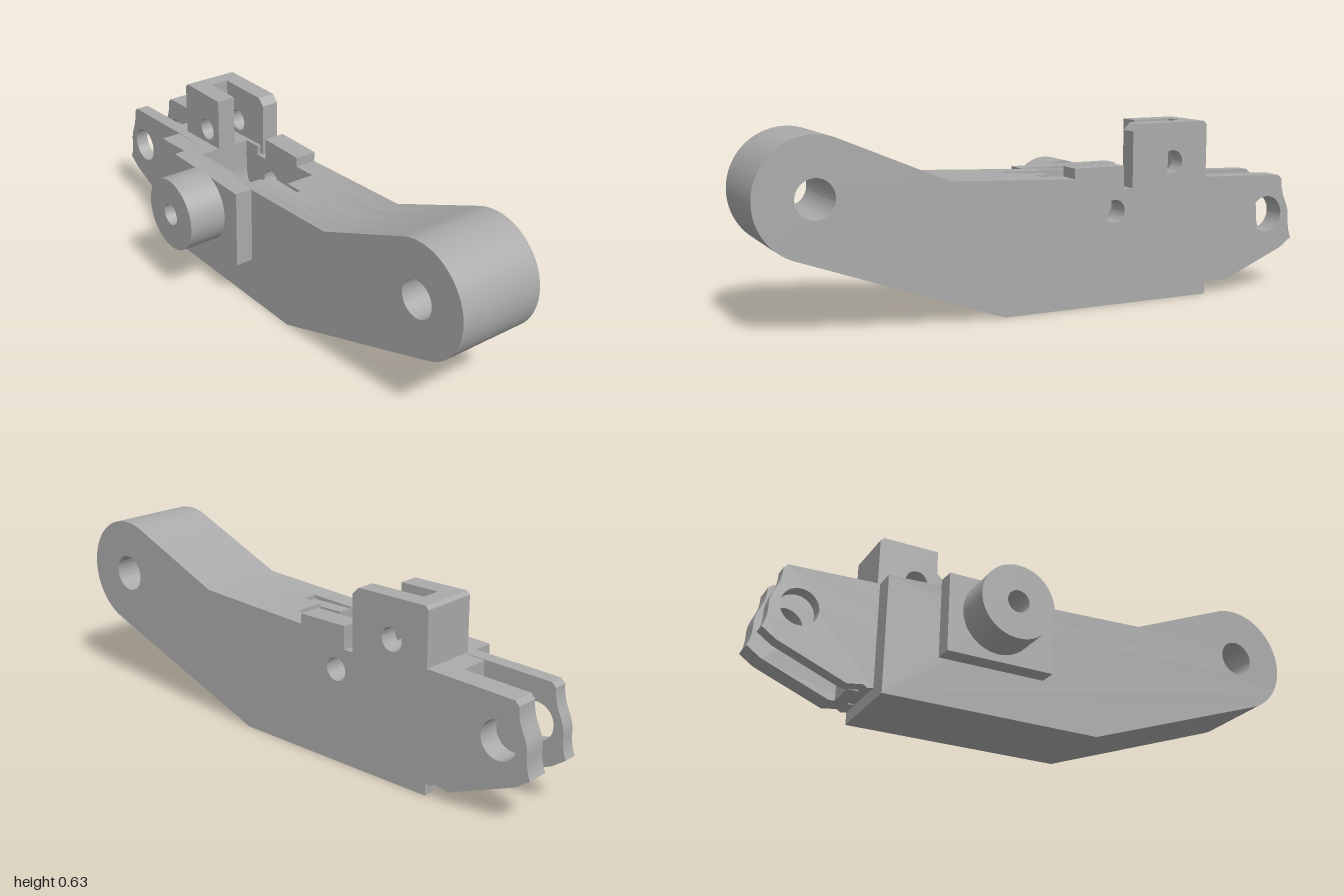
import * as THREE from 'three';
import { toCreasedNormals } from 'three/addons/utils/BufferGeometryUtils.js';

const grey = new THREE.MeshStandardMaterial({ color: 0xaaaaaa });
grey.name = 'plain grey';

const PIN = [-0.245, 0.325, 0.04];   // bore through boss and body
const PIVOT = [0.803, 0.437, 0.065]; // arm pivot hole
const FORK = [-0.885, 0.27, 0.065];  // fork pin hole
const LUG = [-0.475, 0.483, 0.04];   // lug pin hole

// height of the gently sloping top edge
const topY = x => 0.42 + 0.0459 * (x + 0.62);

// extrude a shape between two z values
function slab(name, shape, holes, z0, z1) {
  for (const [x, y, r] of holes) shape.holes.push(new THREE.Path().absarc(x, y, r, 0, Math.PI * 2, true));
  const geo = new THREE.ExtrudeGeometry(shape, { depth: z1 - z0, bevelEnabled: false, curveSegments: 32 });
  geo.translate(0, 0, z0);
  const mesh = new THREE.Mesh(toCreasedNormals(geo, 0.4), grey);
  mesh.name = name;
  return mesh;
}

const poly = pts => new THREE.Shape(pts.map(p => new THREE.Vector2(...p)));

// arm outline; edge(s) cuts the top edge (right to left), left draws the left end
function armShape(edge, left) {
  const s = new THREE.Shape();
  s.moveTo(-0.62, 0);
  s.lineTo(0.17, 0);
  s.absarc(0.803, 0.437, 0.197, -1.23, 2.0, false);
  s.lineTo(0.36, 0.465);
  edge(s);
  left(s);
  return s;
}

// left ends
const squareEnd = s => s.lineTo(-0.62, topY(-0.62));
const stubEnd = s => [[-0.69, topY(-0.69)], [-0.69, 0.045], [-0.62, 0.045]].forEach(p => s.lineTo(...p));
const forkEnd = s => {
  s.lineTo(-0.935, 0.41);
  s.lineTo(-0.95, 0.395);
  s.bezierCurveTo(-0.95, 0.32, -0.985, 0.31, -0.985, 0.25);
  s.quadraticCurveTo(-0.985, 0.2, -1, 0.175);
  s.lineTo(-0.95, 0.14);
  s.lineTo(-0.71, 0.042);
  s.lineTo(-0.655, 0.05);
  s.lineTo(-0.64, 0.04);
  s.lineTo(-0.62, 0.045);
};

// top edges
const plainEdge = () => {};
const tabEdge = s => [[-0.09, topY(-0.09)], [-0.09, 0.48], [-0.28, 0.48], [-0.28, 0.4],
  [-0.33, 0.4], [-0.33, topY(-0.33)]].forEach(p => s.lineTo(...p));
// U-shaped pocket, with an optional step beside it
const pocketEdge = (stepX, stepY) => s => {
  if (stepX !== undefined) {
    s.lineTo(stepX, topY(stepX));
    s.lineTo(stepX, stepY);
    s.lineTo(-0.09, stepY);
  } else s.lineTo(-0.09, topY(-0.09));
  s.lineTo(-0.09, 0.325);
  s.absarc(-0.245, 0.325, 0.155, 0, -Math.PI, true);
  s.lineTo(-0.4, topY(-0.4));
};

// rectangle with chamfered top corners
const chamfered = (x0, x1, y0, y1, c, cr = c) => poly([[x0, y0], [x1, y0], [x1, y1 - cr],
  [x1 - cr, y1], [x0 + c, y1], [x0, y1 - c]]);

export function createModel() {
  const model = new THREE.Group();
  model.name = 'leverArm';

  // arm body, in layers from back to front
  const body = new THREE.Group();
  body.name = 'armBody';
  body.add(
    slab('backWall', armShape(tabEdge, forkEnd), [PIVOT, FORK, PIN], -0.26, -0.18),
    slab('pocketCore', armShape(pocketEdge(0, 0.37), stubEnd), [PIVOT], -0.18, -0.07),
    slab('frontForkLayer', armShape(pocketEdge(0.075, 0.438), forkEnd), [PIVOT, FORK], -0.07, -0.02),
    slab('pocketFront', armShape(pocketEdge(), squareEnd), [PIVOT], -0.02, 0.02),
    slab('frontWall', armShape(plainEdge, squareEnd), [PIVOT, PIN], 0.02, 0.055)
  );
  model.add(body);

  // upright lug: two plates joined by a web
  const lug = new THREE.Group();
  lug.name = 'upperLug';
  lug.add(
    slab('lugBackPlate', chamfered(-0.615, -0.315, 0.4, 0.62, 0.012, 0.025), [LUG], -0.26, -0.195),
    slab('lugFrontPlate', chamfered(-0.615, -0.4, 0.4, 0.62, 0.012, 0), [LUG], -0.125, -0.055),
    slab('lugWeb', chamfered(-0.615, -0.545, 0.4, 0.62, 0.012, 0), [], -0.195, -0.125)
  );
  model.add(lug);

  // front boss
  const disc = new THREE.Shape().absarc(-0.245, 0.325, 0.133, 0, Math.PI * 2, false);
  model.add(
    slab('bossPlate', chamfered(-0.43, -0.04, 0.165, 0.449, 0), [PIN], 0.055, 0.12),
    slab('bossCylinder', disc, [PIN], 0.12, 0.26)
  );
  return model;
}
